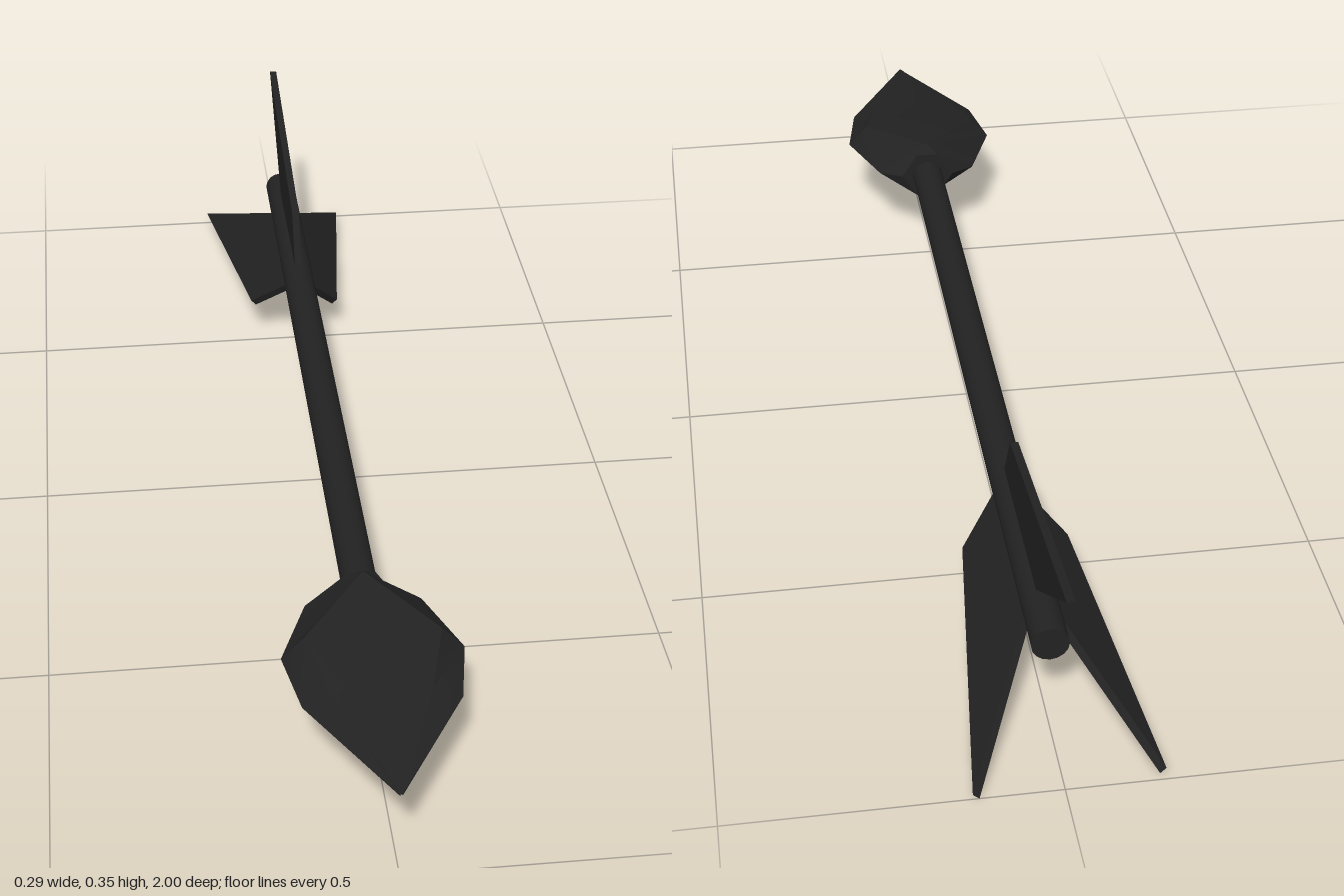
import * as THREE from 'three';
import { toCreasedNormals } from 'three/addons/utils/BufferGeometryUtils.js';

const AXIS_Y = 0.155;

// Six-sided cross-sections lofted along z, closed at the back and pointed at the front.
function loft(sections, backZ) {
  const rings = sections.map(([z, w, t, h]) => [
    [w, 0, z], [t, h, z], [-t, h, z], [-w, 0, z], [-t, -h, z], [t, -h, z],
  ]);
  const pos = [];
  const tri = (a, b, c) => pos.push(...a, ...b, ...c);
  for (let i = 0; i < 6; i++) {
    const j = (i + 1) % 6;
    tri([0, 0, backZ], rings[0][j], rings[0][i]);
    for (let k = 0; k < rings.length - 1; k++) {
      const a = rings[k], b = rings[k + 1];
      tri(a[i], a[j], b[j]);
      tri(a[i], b[j], b[i]);
    }
  }
  const geo = new THREE.BufferGeometry();
  geo.setAttribute('position', new THREE.Float32BufferAttribute(pos, 3));
  return toCreasedNormals(geo, 0.5);
}

export function createModel() {
  const model = new THREE.Group();
  model.name = 'arrow';
  const material = new THREE.MeshStandardMaterial({ color: 0x222222 });
  const add = (name, geometry) => {
    const mesh = new THREE.Mesh(geometry, material);
    mesh.name = name;
    mesh.position.y = AXIS_Y;
    model.add(mesh);
    return mesh;
  };

  // Round shaft
  const shaft = new THREE.CylinderGeometry(0.029, 0.029, 1.42, 16);
  shaft.rotateX(Math.PI / 2).translate(0, 0, -0.15);
  add('shaft', shaft);

  // Broad head: z, half width, half width of the flat, half height
  add('head', loft([
    [0.54, 0.05, 0.02, 0.045],
    [0.56, 0.092, 0.002, 0.059],
    [0.685, 0.141, 0.105, 0.039],
    [0.8, 0.12, 0.075, 0.022],
    [1.0, 0.002, 0.001, 0.002],
  ], 0.54));

  // Three swept fins, drawn as distance behind centre against distance from the axis
  const outline = [[0.465, 0.015], [0.47, 0.029], [0.52, 0.117], [1.0, 0.198], [0.77, 0.029], [0.76, 0.015]];
  const finShape = new THREE.Shape(outline.map(([a, r]) => new THREE.Vector2(a, r)));
  const fin = new THREE.ExtrudeGeometry(finShape, { depth: 0.013, bevelEnabled: false });
  fin.translate(0, 0, -0.0065).rotateY(Math.PI / 2);
  [['topFin', 0], ['rightFin', 133.5], ['leftFin', -139]].forEach(([name, degrees]) => {
    add(name, fin).rotation.z = THREE.MathUtils.degToRad(degrees);
  });

  return model;
}
